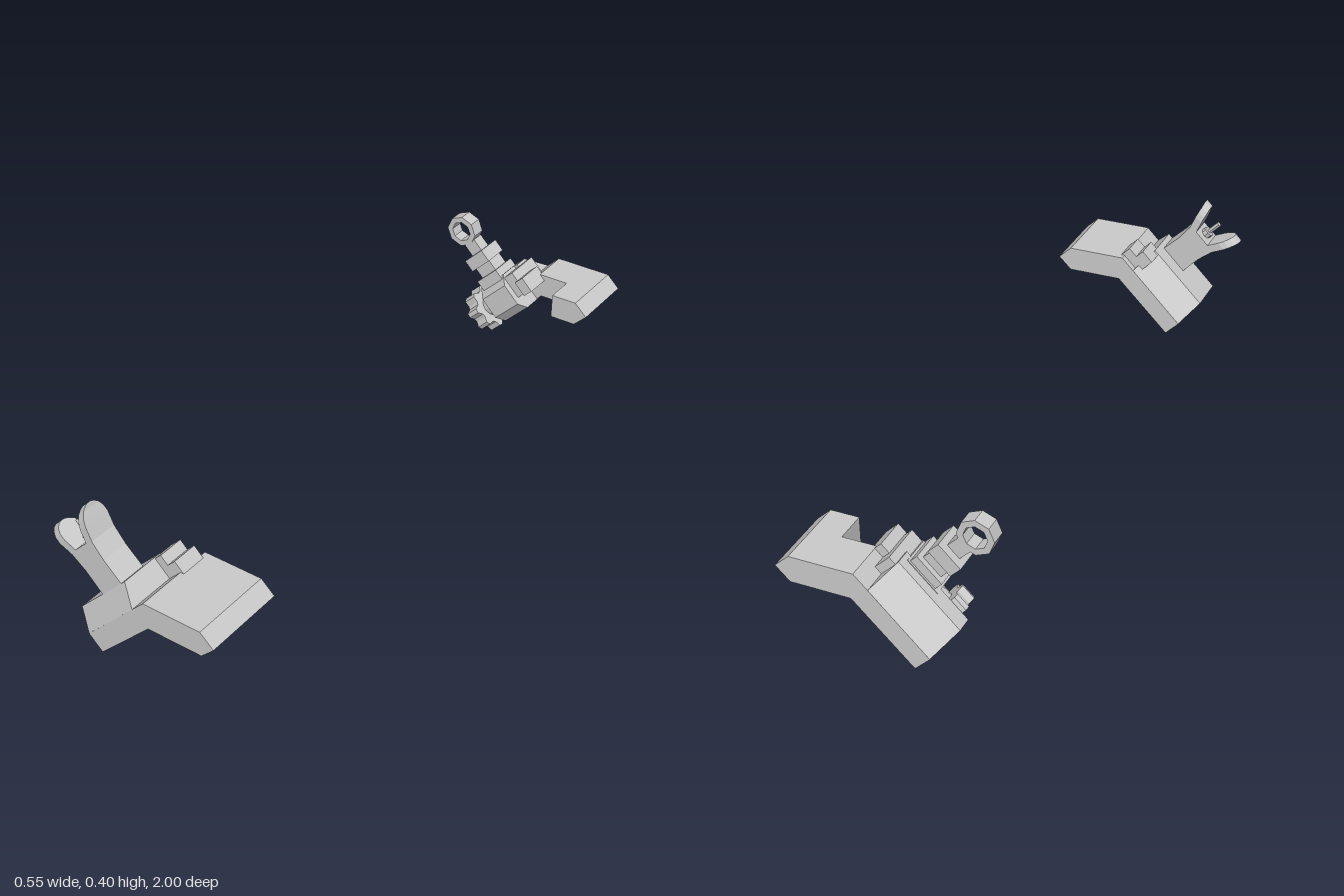
import * as THREE from 'three';

const mat = new THREE.MeshStandardMaterial({ color: 0xcccccc, flatShading: true });
const AXIS = 0.092; // centre line of both sights in the canted frame

function add(parent, name, geometry) {
  const mesh = new THREE.Mesh(geometry, mat);
  mesh.name = name;
  parent.add(mesh);
  return mesh;
}
const shapeOf = (pts) => new THREE.Shape(pts.map(([x, y]) => new THREE.Vector2(x, y)));

// outline in x,y pushed from z0 to z1
function prism(pts, z0, z1) {
  const g = new THREE.ExtrudeGeometry(shapeOf(pts), { depth: z1 - z0, bevelEnabled: false });
  return g.translate(0, 0, z0);
}
// outline in z,y pushed from x0 to x1
function bar(pts, x0, x1) {
  const g = new THREE.ExtrudeGeometry(shapeOf(pts.map(([z, y]) => [-z, y])), { depth: x1 - x0, bevelEnabled: false });
  return g.rotateY(Math.PI / 2).translate(x0, 0, 0);
}
function box(x0, x1, y0, y1, z0, z1) {
  return new THREE.BoxGeometry(x1 - x0, y1 - y0, z1 - z0)
    .translate((x0 + x1) / 2, (y0 + y1) / 2, (z0 + z1) / 2);
}
// stack of rectangular sections [y, xMin, xMax, half depth] around depth zc
function stack(rows, zc) {
  const pos = [], idx = [];
  for (const [y, a, b, h] of rows) pos.push(a, y, zc + h, b, y, zc + h, b, y, zc - h, a, y, zc - h);
  for (let r = 0; r < rows.length - 1; r++) {
    for (let k = 0; k < 4; k++) {
      const p = r * 4 + k, q = r * 4 + (k + 1) % 4;
      idx.push(p, q, q + 4, p, q + 4, p + 4);
    }
  }
  const e = (rows.length - 1) * 4;
  idx.push(0, 2, 1, 0, 3, 2, e, e + 1, e + 2, e, e + 2, e + 3);
  const g = new THREE.BufferGeometry();
  g.setAttribute('position', new THREE.Float32BufferAttribute(pos, 3));
  g.setIndex(idx);
  const flat = g.toNonIndexed();
  flat.computeVertexNormals();
  return flat;
}
function cantedGroup(name, parent) {
  const g = new THREE.Group();
  g.name = name;
  g.rotation.z = Math.PI / 4;
  parent.add(g);
  return g;
}

function frontSight() {
  const sight = new THREE.Group();
  sight.name = 'frontSight';
  // angled base with the pointed rail clamp
  add(sight, 'frontBase', prism([[-0.093, 0], [0.07, 0.161], [0.235, 0.161], [0.274, 0.199],
    [0.235, 0.236], [0.06, 0.236], [-0.134, 0.041]], 0.765, 1));
  const c = cantedGroup('frontCanted', sight);
  add(c, 'frontChamferedTop', bar([[1, 0.124], [0.97, 0.188], [0.84, 0.188], [0.765, 0.124]], -0.065, 0.157));
  // hinge steps
  add(c, 'frontHingeStepHigh', box(0.14, 0.184, 0.11, 0.185, 0.785, 0.86));
  add(c, 'frontHingeStepLow', box(0.18, 0.217, 0.11, 0.155, 0.785, 0.86));
  add(c, 'frontBottomRidge', box(0.035, 0.143, 0.062, 0.08, 0.885, 0.89));
  // waisted stem
  const zc = 0.93;
  add(c, 'frontStem', stack([[0.17, AXIS - 0.048, AXIS + 0.048, 0.04], [0.258, AXIS - 0.046, AXIS + 0.046, 0.04],
    [0.316, AXIS - 0.053, AXIS + 0.053, 0.04]], zc));
  // flared guard ears with rounded tips
  const ear = [[0.312, 0.026, 0.053, 0.04], [0.35, 0.041, 0.068, 0.04], [0.367, 0.048, 0.074, 0.036],
    [0.382, 0.053, 0.079, 0.027], [0.39, 0.057, 0.083, 0.016], [0.394, 0.058, 0.084, 0.006]];
  for (const side of [-1, 1]) {
    add(c, side > 0 ? 'upperEar' : 'lowerEar', stack(ear.map(([y, a, b, h]) =>
      side > 0 ? [y, AXIS + a, AXIS + b, h] : [y, AXIS - b, AXIS - a, h]), zc));
  }
  // aiming post on its threaded foot
  add(c, 'aimingPostFoot', new THREE.CylinderGeometry(0.017, 0.017, 0.02, 8).translate(AXIS, 0.322, zc));
  add(c, 'aimingPost', new THREE.CylinderGeometry(0.008, 0.008, 0.07, 6).translate(AXIS, 0.34, zc));
  return sight;
}

function rearSight() {
  const sight = new THREE.Group();
  sight.name = 'rearSight';
  // narrow angled plate and wide clamp end
  add(sight, 'rearPlate', prism([[-0.093, 0], [0.07, 0.161], [0.16, 0.161], [0.16, 0.236],
    [0.06, 0.236], [-0.134, 0.041]], -1, -0.88));
  add(sight, 'rearClamp', prism([[0.155, 0.161], [0.235, 0.161], [0.274, 0.199], [0.235, 0.236],
    [0.155, 0.236]], -1, -0.792));
  const c = cantedGroup('rearCanted', sight);
  const zc = -0.85;
  add(c, 'rearChamferedTop', bar([[-0.88, 0.124], [-0.88, 0.188], [-0.925, 0.188], [-1, 0.124]], -0.065, 0.157));
  // hinge block in front of the plate
  add(c, 'rearHingeBlock', bar([[-0.88, 0.062], [-0.82, 0.062], [-0.79, 0.09], [-0.79, 0.16],
    [-0.815, 0.19], [-0.9, 0.19], [-0.9, 0.062]], 0.035, 0.143));
  add(c, 'rearHingeStepHigh', box(0.14, 0.18, 0.105, 0.18, -0.93, -0.81));
  add(c, 'rearHingeStepLow', box(0.175, 0.21, 0.1, 0.15, -0.89, -0.8));
  // scalloped adjustment knob on its shaft
  const rim = [];
  for (let i = 0; i < 32; i++) {
    const a = (i + 0.5) / 32 * Math.PI * 2, r = i % 4 < 2 ? 0.071 : 0.057;
    rim.push([zc + r * Math.cos(a), 0.126 + r * Math.sin(a)]);
  }
  add(c, 'adjustmentKnob', bar(rim.reverse(), -0.045, -0.003));
  add(c, 'knobShaft', new THREE.CylinderGeometry(0.035, 0.035, 0.1, 10).rotateZ(Math.PI / 2).translate(0, 0.126, zc));
  // neck with stepped collars
  const neck = [['neckBase', 0.045, 0.045, 0.18, 0.215], ['neckLower', 0.032, 0.03, 0.21, 0.26],
    ['neckCollar', 0.04, 0.042, 0.25, 0.29], ['neckUpper', 0.022, 0.02, 0.285, 0.33]];
  for (const [name, hx, hz, y0, y1] of neck) add(c, name, box(AXIS - hx, AXIS + hx, y0, y1, zc - hz, zc + hz));
  // octagonal aperture ring
  const octagon = (r) => Array.from({ length: 8 }, (_, i) =>
    new THREE.Vector2(AXIS + r * Math.cos(i * Math.PI / 4), 0.373 + r * Math.sin(i * Math.PI / 4)));
  const ring = new THREE.Shape(octagon(0.05));
  ring.holes.push(new THREE.Path(octagon(0.032).reverse()));
  add(c, 'apertureRing', new THREE.ExtrudeGeometry(ring, { depth: 0.044, bevelEnabled: false }).translate(0, 0, zc - 0.022));
  return sight;
}

export function createModel() {
  const model = new THREE.Group();
  model.name = 'cantedSightPair';
  model.add(frontSight(), rearSight());
  return model;
}
